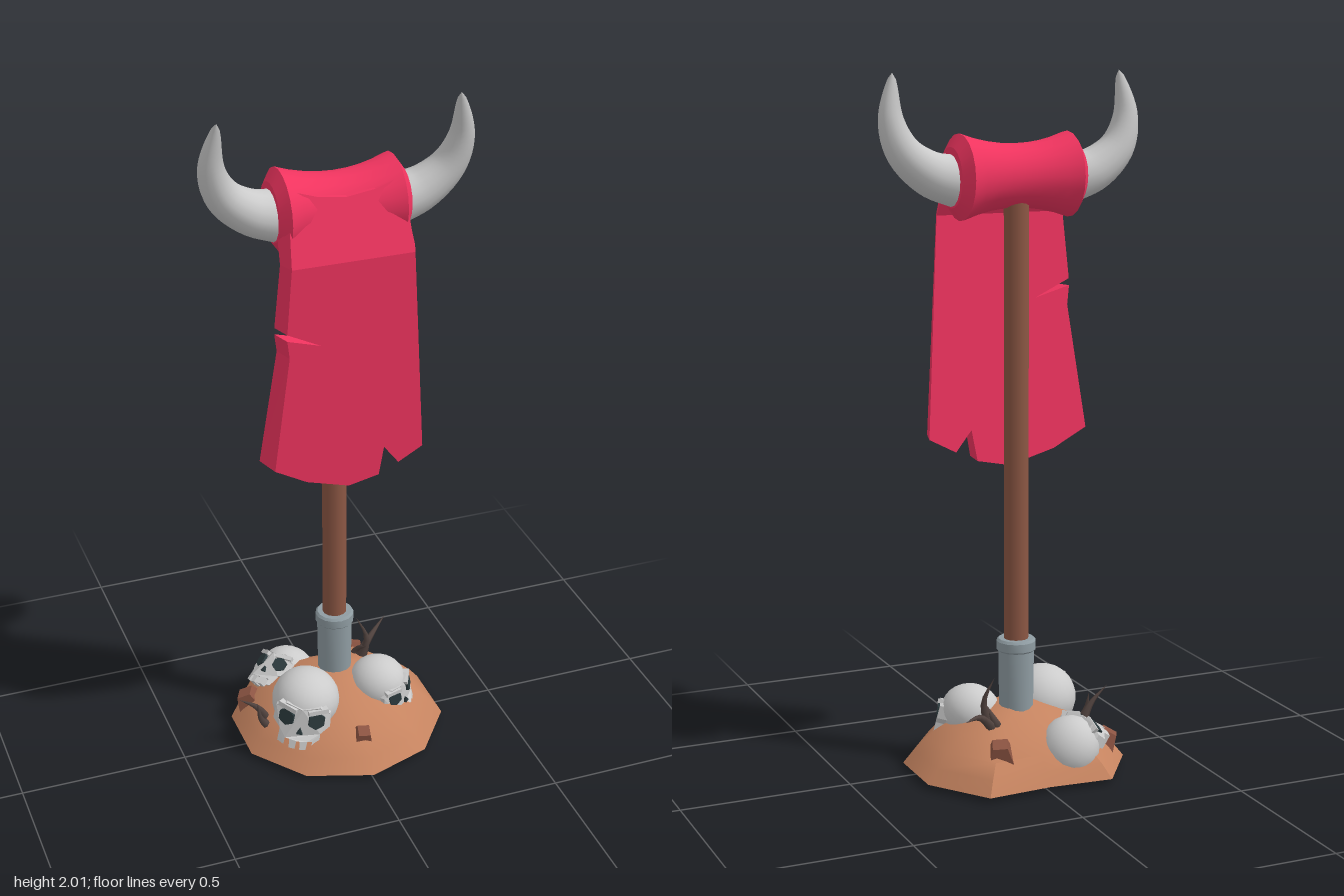
import * as THREE from 'three';
import { toCreasedNormals } from 'three/addons/utils/BufferGeometryUtils.js';

const V = (x, y, z) => new THREE.Vector3(x, y, z);
const mat = (color, flat = false) => new THREE.MeshStandardMaterial({ color, flatShading: flat });
const clothMat = mat(0xf0345f), woodMat = mat(0x8c5744), metalMat = mat(0x8f9ca2);
const earthMat = mat(0xc68460), rockMat = mat(0x8c5442, true), boneMat = mat(0xcccccc);
const darkMat = mat(0x2c3a3d, true), thornMat = mat(0x51433f);

function add(parent, name, geo, material, x = 0, y = 0, z = 0) {
  const m = new THREE.Mesh(geo, material);
  m.name = name;
  m.position.set(x, y, z);
  parent.add(m);
  return m;
}

// Tube along a curve that tapers to a point: radius at u is r * profile(u)
function taper(points, r, profile, sides, rings) {
  const curve = new THREE.CatmullRomCurve3(points);
  const geo = new THREE.TubeGeometry(curve, rings, 1, sides);
  const pos = geo.attributes.position, v = V();
  for (let i = 0; i < pos.count; i++) {
    const u = Math.floor(i / (sides + 1)) / rings;
    const c = curve.getPointAt(u);
    v.fromBufferAttribute(pos, i).sub(c).multiplyScalar(r * profile(u)).add(c);
    pos.setXYZ(i, v.x, v.y, v.z);
  }
  return geo;
}

// Domed mound: a ten-cornered outline shrunk ring by ring
function moundGeometry() {
  const half = [[0, 0.295], [0.19, 0.23], [0.31, 0.07], [0.31, -0.13], [0.19, -0.3], [0, -0.287]];
  const outline = [...half, ...half.slice(1, 5).reverse().map(([x, z]) => [-x, z])];
  const rings = [[1, 0], [0.9, 0.04], [0.78, 0.078], [0.6, 0.12], [0.4, 0.15], [0.2, 0.175], [0, 0.187]];
  const n = outline.length, pos = [], idx = [];
  for (const [s, y] of rings) for (const [x, z] of outline) pos.push(x * s, y, -0.03 + (z + 0.03) * s);
  for (let r = 0; r < rings.length - 1; r++) {
    for (let j = 0; j < n; j++) {
      const a = r * n + j, b = r * n + (j + 1) % n;
      idx.push(a, b, b + n);
      if (r < rings.length - 2) idx.push(a, b + n, a + n);
    }
  }
  const c = pos.length / 3;
  pos.push(0, 0, -0.03);
  for (let j = 0; j < n; j++) idx.push(c, (j + 1) % n, j);
  const geo = new THREE.BufferGeometry();
  geo.setAttribute('position', new THREE.Float32BufferAttribute(pos, 3));
  geo.setIndex(idx);
  return toCreasedNormals(geo, 0.75);
}

// Cloth panel: outline extruded, then leaned and narrowed toward the front
function clothGeometry(outline) {
  const geo = new THREE.ExtrudeGeometry(
    new THREE.Shape(outline.map(([x, y]) => new THREE.Vector2(x, y))), { depth: 1, bevelEnabled: false });
  const pos = geo.attributes.position, L = THREE.MathUtils.mapLinear;
  for (let i = 0; i < pos.count; i++) {
    const x = pos.getX(i), y = pos.getY(i), t = pos.getZ(i);
    const front = y <= 1.6 ? L(y, 0.88, 1.6, 0.075, 0.112) : L(y, 1.6, 1.8, 0.112, 0.045);
    const back = y <= 1.6 ? L(y, 0.88, 1.6, -0.003, 0.065) : L(y, 1.6, 1.8, 0.065, -0.04);
    pos.setXYZ(i, x * (1 - 0.09 * t), y, t > 0.5 ? front : back);
  }
  geo.computeVertexNormals();
  return geo;
}

// Skull of unit radius, facing +z
function makeSkull(name, center, r, forward, up) {
  const g = new THREE.Group();
  g.name = name;
  add(g, 'cranium', new THREE.SphereGeometry(1, 20, 14), boneMat).scale.set(1, 0.95, 1.05);
  // face plate with cheekbones and stepped teeth, curved around the front
  const right = [[0, 0.2], [0.5, 0.3], [0.8, 0.08], [0.84, -0.35], [0.6, -0.55], [0.62, -0.95], [0.42, -1],
    [0.4, -0.78], [0.27, -0.78], [0.25, -1.05], [0.07, -1.05], [0.05, -0.8]];
  const left = right.slice(1).reverse().map(([x, y]) => [-x, y]);
  const face = new THREE.ExtrudeGeometry(
    new THREE.Shape([...right, ...left].reverse().map(([x, y]) => new THREE.Vector2(x, y))),
    { depth: 0.6, bevelEnabled: false });
  const p = face.attributes.position;
  for (let i = 0; i < p.count; i++) {
    const x = p.getX(i), y = p.getY(i);
    p.setZ(i, p.getZ(i) + 0.5 - 0.5 * x * x - 0.1 * Math.min(y, 0));
  }
  face.computeVertexNormals();
  add(g, 'face', face, boneMat);
  for (const s of [-1, 1]) {
    const eye = add(g, 'eyeSocket', new THREE.CylinderGeometry(0.27, 0.27, 0.2, 6).rotateX(Math.PI / 2),
      darkMat, s * 0.42, -0.13, 0.95);
    eye.rotation.y = s * 0.42;
    const brow = add(g, 'brow', new THREE.BoxGeometry(0.6, 0.14, 0.25), boneMat, s * 0.42, 0.18, 0.93);
    brow.rotation.set(0, s * 0.42, s * 0.15);
  }
  const nose = add(g, 'noseHole', new THREE.CylinderGeometry(0.13, 0.13, 0.1, 3).rotateX(-Math.PI / 2),
    darkMat, 0, -0.5, 1.13);
  nose.scale.x = 0.8;
  const z = forward.normalize(), x = V().crossVectors(up, z).normalize();
  g.quaternion.setFromRotationMatrix(new THREE.Matrix4().makeBasis(x, V().crossVectors(z, x), z));
  g.position.copy(center);
  g.scale.setScalar(r);
  return g;
}

export function createModel() {
  const model = new THREE.Group();
  model.name = 'hornedBanner';

  // Ground, pole and metal socket
  add(model, 'mound', moundGeometry(), earthMat);
  add(model, 'pole', new THREE.CylinderGeometry(0.036, 0.036, 1.5, 14), woodMat, 0, 0.9, -0.048);
  const socket = [[0, 0.12], [0.05, 0.12], [0.053, 0.34], [0.058, 0.345], [0.058, 0.37], [0.052, 0.377], [0, 0.377]];
  add(model, 'poleSocket', toCreasedNormals(
    new THREE.LatheGeometry(socket.map(([x, y]) => new THREE.Vector2(x, y)), 14), 0.6), metalMat, 0, 0, -0.048);

  // Rolled cloth on the crossbar, waisted in the middle
  const roll = [[0, -0.19], [0.085, -0.19], [0.121, -0.165]];
  for (let i = 1; i < 8; i++) {
    const x = -0.165 + i * 0.04125;
    roll.push([0.09 + 0.031 * (x / 0.165) ** 2, x]);
  }
  roll.push([0.121, 0.165], [0.085, 0.19], [0, 0.19]);
  add(model, 'clothRoll', toCreasedNormals(new THREE.LatheGeometry(
    roll.map(([x, y]) => new THREE.Vector2(x, y)), 20).rotateZ(Math.PI / 2), 0.6), clothMat, 0, 1.713, -0.03);

  // Hanging banner with a torn side and hem
  add(model, 'banner', clothGeometry([[0.195, 1.6], [-0.195, 1.6], [-0.208, 1.405], [-0.1, 1.355], [-0.208, 1.385],
    [-0.2, 1.33], [-0.245, 0.972], [-0.14, 0.918], [0, 0.88], [0.1, 0.9], [0.115, 0.99], [0.165, 0.93],
    [0.245, 0.972]]), clothMat);
  add(model, 'bannerTop', clothGeometry([[0.18, 1.8], [0.09, 1.775], [0, 1.765], [-0.09, 1.775], [-0.18, 1.8],
    [-0.195, 1.6], [0.195, 1.6]]), clothMat);

  // Horns
  for (const s of [-1, 1]) {
    const path = [V(0.16, 1.7, -0.027), V(0.25, 1.725, -0.027), V(0.325, 1.785, -0.022),
      V(0.357, 1.87, -0.01), V(0.345, 2.0, 0.01)];
    path.forEach(p => { p.x *= s; });
    add(model, 'horn', taper(path, 0.075, u => Math.pow(1 - u, 0.55) * (1 - 0.12 * u), 16, 24), boneMat);
  }

  // Skulls
  model.add(
    makeSkull('largeSkull', V(-0.13, 0.15, 0.055), 0.102, V(-0.42, 0.12, 0.9), V(0.15, 1, 0)),
    makeSkull('smallSkull', V(0.11, 0.143, 0.035), 0.085, V(0.6, 0.05, 0.8), V(-0.25, 1, 0)),
    makeSkull('fallenSkull', V(-0.105, 0.075, -0.19), 0.088, V(-0.55, 0.75, 0.1), V(0.75, 0.45, -0.5)));

  // Rocks set into the slope
  const rocks = [[0.12, 0.1, -0.21, 0.05, 0.4], [0, 0.082, 0.2, 0.042, 0.6], [-0.255, 0.06, -0.125, 0.052, 0.3]];
  for (const [x, y, z, r, spin] of rocks) {
    const rock = add(model, 'rock',
      new THREE.CylinderGeometry(r * 0.6, r, 0.05, 4).rotateY(spin), rockMat, x, y, z);
    rock.quaternion.setFromUnitVectors(V(0, 1, 0), V(x * 2, 1, (z + 0.03) * 2).normalize());
  }

  // Curved thorns: base, bend, tip
  const thorns = [
    [V(0.09, 0.12, -0.11), V(0.15, 0.18, -0.14), V(0.23, 0.2, -0.215)],
    [V(0.1, 0.12, -0.1), V(0.125, 0.21, -0.1), V(0.095, 0.285, -0.11)],
    [V(0.08, 0.12, -0.12), V(0.1, 0.16, -0.12), V(0.11, 0.2, -0.07)],
    [V(-0.23, 0.05, 0.0), V(-0.27, 0.12, 0.01), V(-0.33, 0.17, 0.02)],
    [V(-0.23, 0.05, 0.03), V(-0.265, 0.09, 0.035), V(-0.275, 0.15, 0.03)],
  ];
  for (const path of thorns) add(model, 'thorn', taper(path, 0.018, u => 1 - u, 6, 8), thornMat);

  return model;
}
